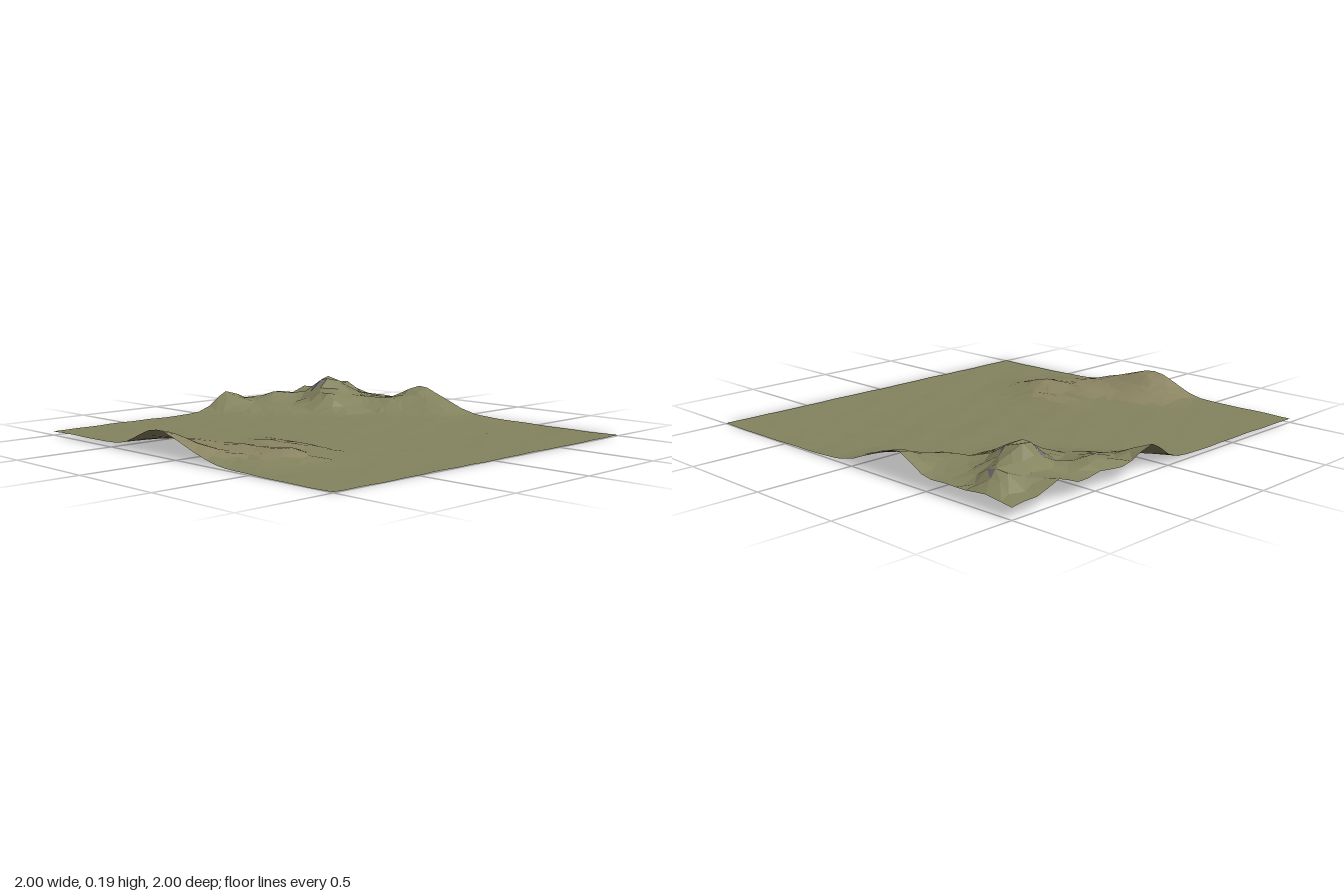
import * as THREE from 'three';

const SEGMENTS = 30;

// Hills: x, z, height, spread along x, spread along z
const HILLS = [
  // mountain corner
  [-0.71, -0.66, 0.135, 0.1, 0.09],
  [-0.8, -0.86, 0.08, 0.08, 0.06],
  [-0.54, -0.48, 0.085, 0.09, 0.08],
  [-1, -0.13, 0.075, 0.11, 0.07],
  [-0.9, -0.42, 0.05, 0.08, 0.08],
  [-0.97, -0.73, 0.04, 0.07, 0.06],
  [-0.31, -1, 0.075, 0.1, 0.09],
  [-0.38, -0.76, 0.04, 0.09, 0.07],
  [-0.13, -0.88, 0.04, 0.1, 0.08],
  [-0.72, -0.26, 0.03, 0.1, 0.07],
  // low front hills
  [-0.15, 1, 0.1, 0.13, 0.1],
  [0.08, 0.94, 0.045, 0.11, 0.09],
  [0.35, 0.64, 0.045, 0.11, 0.07],
  [0.08, 0.68, 0.03, 0.14, 0.07],
  [0.16, 0.45, 0.028, 0.18, 0.07],
  [0.3, 0.83, 0.02, 0.12, 0.08],
  [-0.25, 0.76, 0.02, 0.1, 0.08],
];

function height(x, z) {
  // plain that steps down gently toward +x
  let y = 0.029 - 0.019 * THREE.MathUtils.smoothstep(x, -0.4, 0.6);
  // raised shelf under the mountains
  const shelf = THREE.MathUtils.smoothstep(-(x + z), 0.8, 1.25);
  y += 0.038 * shelf;
  for (const [hx, hz, h, sx, sz] of HILLS) {
    y += h * Math.exp(-0.5 * (((x - hx) / sx) ** 2 + ((z - hz) / sz) ** 2));
  }
  // ripples: strong on the mountains, faint on the plain
  const ripple = Math.sin(17 * x + 9 * z) * Math.cos(19 * z - 7 * x);
  return y + ripple * (0.002 + 0.008 * shelf);
}

function seededRandom(seed) {
  return () => {
    seed = (seed * 16807) % 2147483647;
    return seed / 2147483647;
  };
}

export function createModel() {
  const group = new THREE.Group();
  group.name = 'terrain';
  const random = seededRandom(11);

  // Grid points, shifted a little inside the border for irregular facets
  const points = [];
  const step = 2 / SEGMENTS;
  for (let j = 0; j <= SEGMENTS; j++) {
    for (let i = 0; i <= SEGMENTS; i++) {
      const shiftX = (random() - 0.5) * step * 0.55;
      const shiftZ = (random() - 0.5) * step * 0.55;
      const x = -1 + i * step + (i % SEGMENTS ? shiftX : 0);
      const z = -1 + j * step + (j % SEGMENTS ? shiftZ : 0);
      points.push(new THREE.Vector3(x, height(x, z), z));
    }
  }
  const lowest = Math.min(...points.map((p) => p.y));
  points.forEach((p) => { p.y -= lowest; });

  // Sort the facets into grass, earth and rock by slope and height
  const surfaces = {
    grass: { color: 0x84835f, positions: [] },
    earth: { color: 0x8d8664, positions: [] },
    rock: { color: 0x77747c, positions: [] },
  };
  const triangle = new THREE.Triangle();
  const normal = new THREE.Vector3();
  function addFacet(a, b, c) {
    triangle.set(a, b, c).getNormal(normal);
    const y = (a.y + b.y + c.y) / 3;
    const frontHill = a.z > 0.3 && y > 0.03 && a.x > -0.5;
    let kind = frontHill ? 'earth' : 'grass';
    if (normal.y < 0.73) kind = 'rock';
    for (const p of [a, b, c]) surfaces[kind].positions.push(p.x, p.y, p.z);
  }

  for (let j = 0; j < SEGMENTS; j++) {
    for (let i = 0; i < SEGMENTS; i++) {
      const k = j * (SEGMENTS + 1) + i;
      const a = points[k];
      const b = points[k + 1];
      const c = points[k + SEGMENTS + 1];
      const d = points[k + SEGMENTS + 2];
      if (random() < 0.5) {
        addFacet(a, c, b);
        addFacet(b, c, d);
      } else {
        addFacet(a, c, d);
        addFacet(a, d, b);
      }
    }
  }

  // One mesh per ground cover
  for (const [name, { color, positions }] of Object.entries(surfaces)) {
    if (!positions.length) continue;
    const geometry = new THREE.BufferGeometry();
    geometry.setAttribute('position', new THREE.Float32BufferAttribute(positions, 3));
    geometry.computeVertexNormals();
    const material = new THREE.MeshStandardMaterial({ color, flatShading: true, side: THREE.DoubleSide });
    const mesh = new THREE.Mesh(geometry, material);
    mesh.name = name;
    group.add(mesh);
  }
  return group;
}
